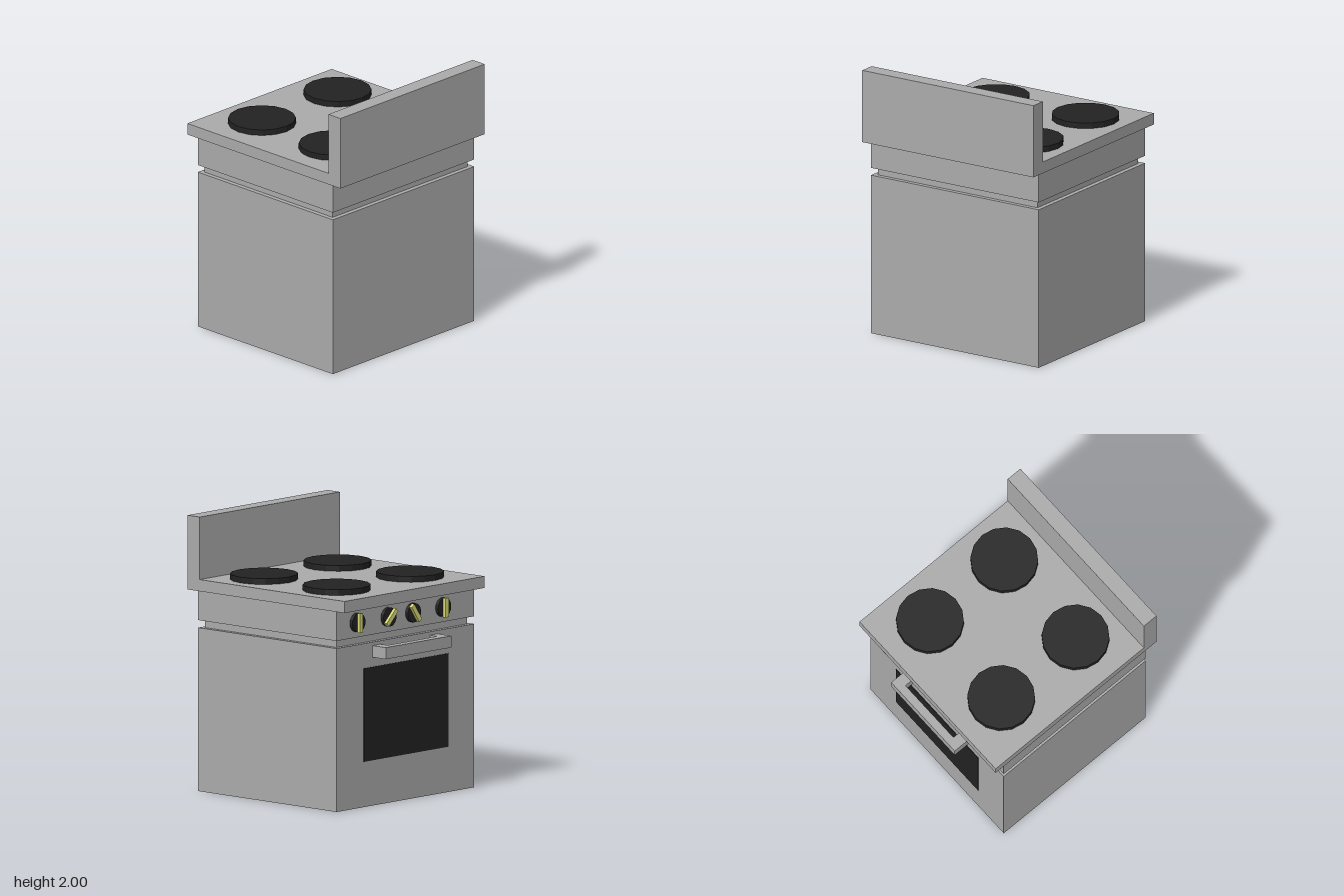
import * as THREE from 'three';

export function createModel() {
  const model = new THREE.Group();
  model.name = 'cooker';

  const mat = (name, color) => {
    const m = new THREE.MeshStandardMaterial({ color });
    m.name = name;
    return m;
  };
  const steel = mat('steel grey', 0xaaaaaa);
  const black = mat('black', 0x222222);
  const yellow = mat('pale yellow', 0xd8d878);

  const add = (name, geometry, material, parent = model) => {
    const mesh = new THREE.Mesh(geometry, material);
    mesh.name = name;
    parent.add(mesh);
    return mesh;
  };
  // Box given by its limits on each axis
  const box = (name, [x0, x1], [y0, y1], [z0, z1], material, parent) => {
    const g = new THREE.BoxGeometry(x1 - x0, y1 - y0, z1 - z0);
    add(name, g, material, parent)
      .position.set((x0 + x1) / 2, (y0 + y1) / 2, (z0 + z1) / 2);
  };

  // Cabinet, stacked from the floor up; the oven door faces -x
  box('ovenBody', [-0.655, 0.695], [0, 1.19], [-0.73, 0.73], steel);
  box('recessedNeck', [-0.62, 0.66], [1.19, 1.245], [-0.695, 0.695], steel);
  box('controlPanel', [-0.655, 0.695], [1.245, 1.46], [-0.73, 0.73], steel);

  // Hob and splashback as one L-shaped profile
  const profile = new THREE.Shape([
    [-0.745, 1.46], [0.785, 1.46], [0.785, 2], [0.665, 2], [0.665, 1.545], [-0.745, 1.545],
  ].map(([x, y]) => new THREE.Vector2(x, y)));
  const hob = new THREE.ExtrudeGeometry(profile, { depth: 1.49, bevelEnabled: false });
  add('hobAndSplashback', hob.translate(0, 0, -0.745), steel);

  // Four hot plates
  const plate = new THREE.CylinderGeometry(0.244, 0.244, 0.042, 16).toNonIndexed();
  plate.computeVertexNormals();
  for (const x of [-0.364, 0.343]) {
    for (const z of [-0.412, 0.368]) {
      add('hotPlate', plate, black).position.set(x, 1.566, z);
    }
  }

  // Oven window
  box('ovenWindow', [-0.659, -0.653], [0.33, 1.01], [-0.445, 0.455], black);

  // Door handle: a bar on two posts
  const handle = new THREE.Group();
  handle.name = 'doorHandle';
  model.add(handle);
  box('handleBar', [-0.787, -0.725], [1.08, 1.165], [-0.35, 0.345], steel, handle);
  box('handlePost', [-0.725, -0.655], [1.08, 1.165], [-0.35, -0.265], steel, handle);
  box('handlePost', [-0.725, -0.655], [1.08, 1.165], [0.26, 0.345], steel, handle);

  // Control knobs: a disc with a grip turned to its setting
  const disc = new THREE.CylinderGeometry(0.07, 0.07, 0.026, 16).rotateZ(Math.PI / 2).toNonIndexed();
  disc.computeVertexNormals();
  const grip = new THREE.BoxGeometry(0.025, 0.14, 0.035);
  [[-0.52, 0], [-0.19, 45], [0.07, -35], [0.39, 0]].forEach(([z, degrees]) => {
    const knob = new THREE.Group();
    knob.name = 'controlKnob';
    knob.position.set(-0.655, 1.355, z);
    knob.rotation.x = THREE.MathUtils.degToRad(degrees);
    add('knobDisc', disc, black, knob).position.x = -0.013;
    add('knobGrip', grip, yellow, knob).position.x = -0.0375;
    model.add(knob);
  });

  return model;
}
